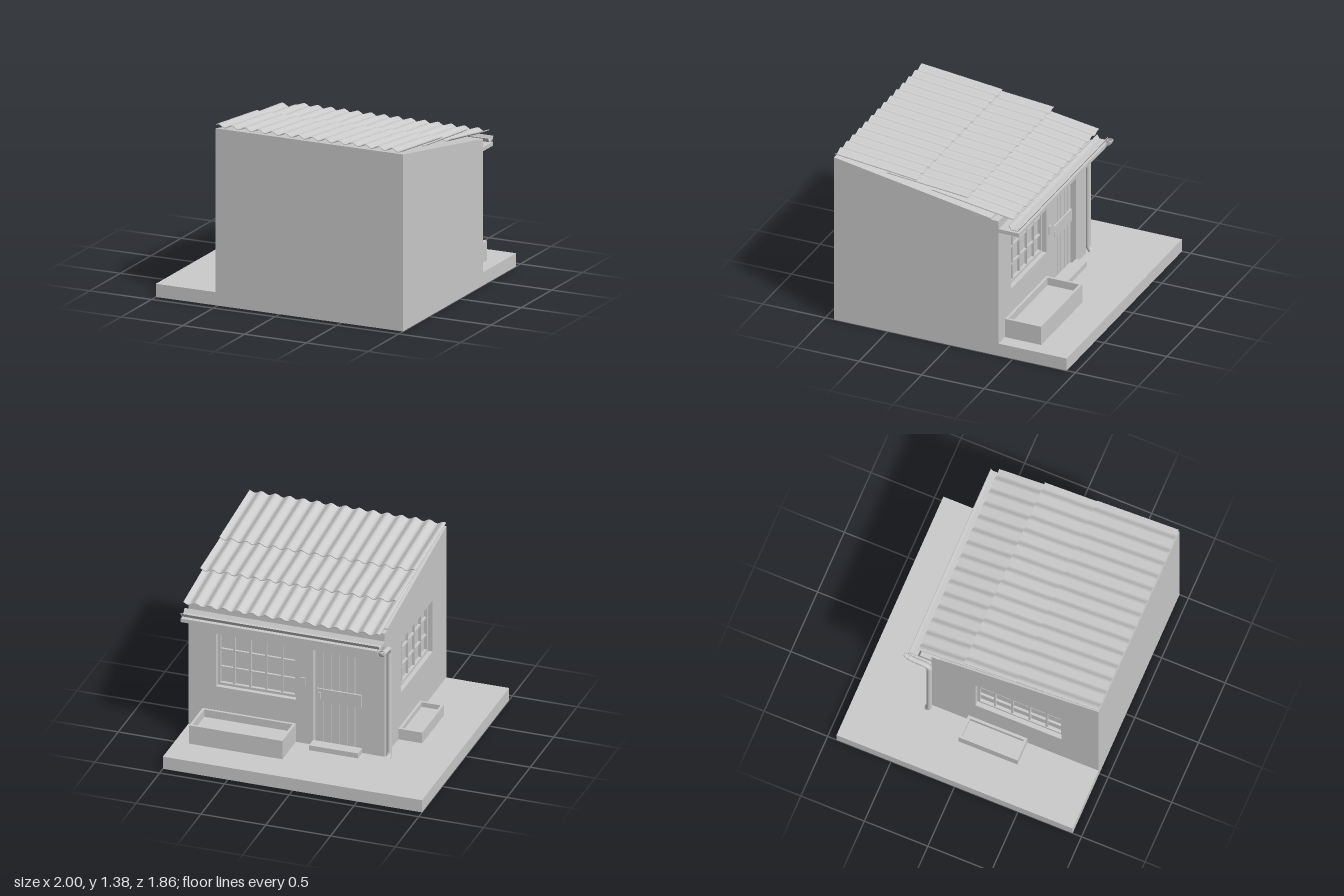
import * as THREE from 'three';

const X0 = -0.515, X1 = 1, ZB = -0.385, ZF = 0.93, BASE = 0.1, WALL = 0.06;
const roofY = z => 1.11 + (z - ZB) * 0.23 / (ZF - ZB);

export function createModel() {
  const model = new THREE.Group();
  const mat = new THREE.MeshStandardMaterial({ color: 0xcccccc });
  const thin = new THREE.MeshStandardMaterial({ color: 0xcccccc, side: THREE.DoubleSide });

  const add = (name, geo, parent = model, material = mat) => {
    const mesh = new THREE.Mesh(geo, material);
    mesh.name = name;
    parent.add(mesh);
    return mesh;
  };
  const group = name => {
    const g = new THREE.Group();
    g.name = name;
    model.add(g);
    return g;
  };
  // box from its minimum and maximum corners
  const box = (name, a, b, parent) => {
    const mesh = add(name, new THREE.BoxGeometry(b[0] - a[0], b[1] - a[1], b[2] - a[2]), parent);
    mesh.position.set((a[0] + b[0]) / 2, (a[1] + b[1]) / 2, (a[2] + b[2]) / 2);
    return mesh;
  };
  const polygon = pts => new THREE.Shape(pts.map(p => new THREE.Vector2(...p)));
  const hole = (a, b, c, d) => new THREE.Path([[a, b], [c, b], [c, d], [a, d]].map(p => new THREE.Vector2(...p)));
  const extrude = (shape, depth) => new THREE.ExtrudeGeometry(shape, { depth, bevelEnabled: false });
  // (z, y) profile swept from x = a to x = b
  const alongX = (name, shape, a, b, material) => {
    const mesh = add(name, extrude(shape, b - a).rotateY(-Math.PI / 2), model, material);
    mesh.position.x = b;
    return mesh;
  };

  box('groundSlab', [-1, 0, -0.93], [1, BASE, 0.93]);

  // solid core, with outer wall layers that carry the openings
  const zc = ZB + WALL, xc = X0 + WALL;
  const profile = () => polygon([[zc, BASE], [ZF, BASE], [ZF, roofY(ZF)], [zc, roofY(zc)]]);
  alongX('houseCore', profile(), xc, X1);
  const side = profile();
  side.holes.push(hole(-0.04, 0.455, 0.64, 0.876));
  alongX('sideWall', side, X0, xc);
  const back = polygon([[X0, BASE], [-0.341, BASE], [-0.341, 0.876], [0.037, 0.876], [0.037, BASE],
    [X1, BASE], [X1, 1.11], [X0, 1.11]]);
  back.holes.push(hole(0.17, 0.445, 0.786, 0.876));
  add('entranceWall', extrude(back, WALL)).position.z = ZB;

  // barred windows, built facing -z about their own centre
  const windowGrid = (name, w, h) => {
    const g = group(name), f = 0.02, bar = 0.007;
    for (const s of [-1, 1]) {
      const x = s * (w - f) / 2, y = s * (h - f) / 2;
      box('frameUpright', [x - f / 2, -h / 2, -0.025], [x + f / 2, h / 2, 0], g);
      box('frameRail', [-w / 2 + f, y - f / 2, -0.025], [w / 2 - f, y + f / 2, 0], g);
    }
    for (let i = 1; i < 5; i++) {
      const x = -w / 2 + w * i / 5;
      box('verticalBar', [x - bar, -h / 2, -0.02], [x + bar, h / 2, 0], g);
    }
    for (let i = 1; i < 3; i++) {
      const y = -h / 2 + h * i / 3;
      box('horizontalBar', [-w / 2, y - bar, -0.018], [w / 2, y + bar, 0], g);
    }
    return g;
  };
  windowGrid('entranceWindow', 0.616, 0.431).position.set(0.478, 0.6605, zc);
  const sideWindow = windowGrid('sideWindow', 0.68, 0.421);
  sideWindow.position.set(xc, 0.6655, 0.3);
  sideWindow.rotation.y = Math.PI / 2;

  // planked door with lock plate and handle
  const door = group('door');
  box('doorLeaf', [-0.341, BASE, zc - 0.012], [0.037, 0.876, zc], door);
  for (let i = 0; i < 6; i++) {
    const x = -0.331 + i * 0.0605;
    box('doorPlank', [x, 0.12, zc - 0.024], [x + 0.0505, 0.86, zc - 0.01], door);
  }
  box('lockPlate', [-0.325, 0.455, zc - 0.036], [0.02, 0.555, zc - 0.02], door);
  box('doorHandle', [-0.013, 0.48, zc - 0.05], [0.003, 0.53, zc - 0.03], door);
  box('doorStep', [-0.341, BASE, -0.475], [0.037, 0.14, ZB]);
  box('doorbell', [0.095, 0.57, ZB - 0.01], [0.135, 0.64, ZB]);

  // open planters with a recessed bed
  const planter = (name, x0, z0, x1, z1, top, bed) => {
    const s = polygon([[x0, -z0], [x1, -z0], [x1, -z1], [x0, -z1]]);
    const t = 0.02;
    s.holes.push(hole(x0 + t, -z1 + t, x1 - t, -z0 - t));
    const g = group(name);
    add('planterWalls', extrude(s, top - BASE).rotateX(-Math.PI / 2), g).position.y = BASE;
    box('planterBed', [x0 + t, BASE, z0 + t], [x1 - t, bed, z1 - t], g);
  };
  planter('largePlanter', 0.17, -0.675, 0.89, ZB, 0.25, 0.19);
  planter('smallPlanter', -0.7, -0.095, X0, 0.37, 0.187, 0.15);

  // three overlapping corrugated roof sheets: [rear z, rear y, front z, front y]
  const wave = [], pitch = 0.108, steps = 112;
  for (let i = 0; i <= steps; i++) {
    const x = X0 + (X1 - X0) * i / steps;
    wave.push([x, 0.0115 * Math.cos((x + 0.39) / pitch * Math.PI * 2)]);
  }
  const sheetShape = polygon([...wave.map(([x, y]) => [x, y - 0.003]),
    ...wave.slice().reverse().map(([x, y]) => [x, y + 0.003])]);
  for (const [z0, y0, z1, y1] of [[0.28, 1.294, 0.925, 1.362], [-0.13, 1.242, 0.51, 1.3], [-0.49, 1.143, 0.15, 1.24]]) {
    const sheet = add('roofSheet', extrude(sheetShape, Math.hypot(z1 - z0, y1 - y0)));
    sheet.position.set(0, y0, z0);
    sheet.rotation.x = -Math.atan2(y1 - y0, z1 - z0);
  }

  // eave ledge and open gutter
  box('eaveLedge', [X0, 1.015, -0.55], [X1, 1.045, ZB]);
  alongX('gutter', polygon([[-0.465, 1.09], [-0.485, 1.058], [-0.54, 1.058], [-0.557, 1.088],
    [-0.552, 1.09], [-0.537, 1.064], [-0.488, 1.064], [-0.47, 1.093]]), -0.53, X1, thin);

  // downpipe with a swan neck and a kicked-out foot
  const pipe = group('downpipe'), px = -0.552;
  const path = new THREE.CurvePath();
  const v = (y, z) => new THREE.Vector3(px, y, z);
  path.add(new THREE.QuadraticBezierCurve3(v(0.112, -0.41), v(0.13, -0.388), v(0.16, -0.388)));
  path.add(new THREE.LineCurve3(v(0.16, -0.388), v(0.96, -0.388)));
  path.add(new THREE.QuadraticBezierCurve3(v(0.96, -0.388), v(1.0, -0.388), v(1.008, -0.43)));
  path.add(new THREE.LineCurve3(v(1.008, -0.43), v(1.018, -0.52)));
  path.add(new THREE.QuadraticBezierCurve3(v(1.018, -0.52), v(1.022, -0.555), v(1.055, -0.562)));
  add('pipe', new THREE.TubeGeometry(path, 120, 0.021, 14), pipe, thin);
  const rim = add('pipeRim', new THREE.TorusGeometry(0.021, 0.004, 8, 18).rotateX(Math.PI / 2), pipe);
  rim.position.set(px, 1.055, -0.562);

  return model;
}
